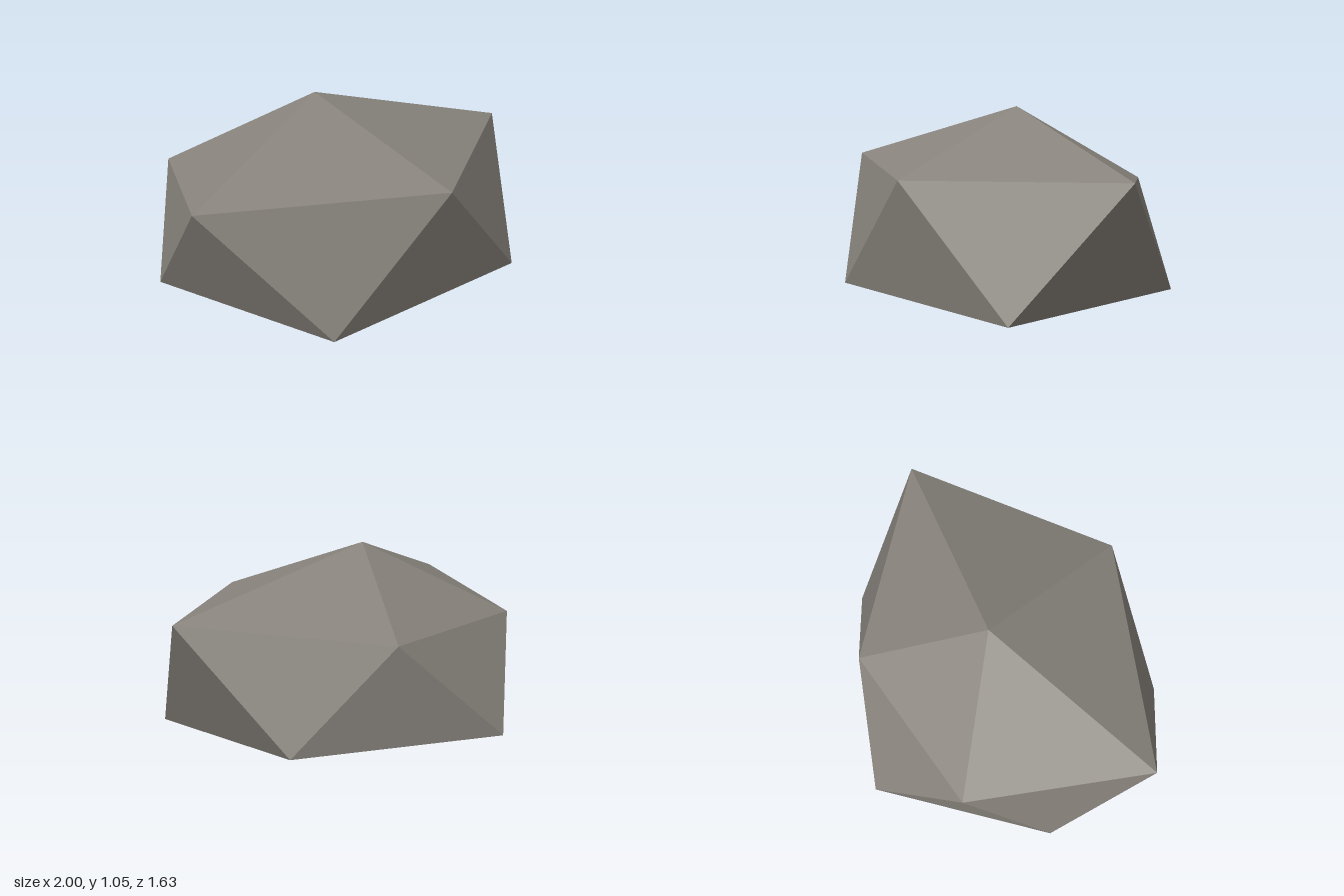
import * as THREE from 'three';

// Faceted boulder: a peak, two staggered rings of five corners, and a base point
const peak = [-0.11, 1.05, -0.04];
const base = [-0.11, 0, -0.04];
const upper = [
  [1, 0.76, -0.04], [0.2, 0.735, 0.78], [-1, 0.75, 0.49], [-0.77, 0.67, -0.44], [0.13, 0.66, -0.66],
];
const lower = [
  [0.79, 0.11, 0.5], [-0.45, 0.12, 0.815], [-0.99, 0.18, -0.04], [-0.42, 0.15, -0.815], [0.65, 0.155, -0.51],
];

function boulderGeometry() {
  const corners = [];
  const n = upper.length;
  for (let i = 0; i < n; i++) {
    const j = (i + 1) % n;
    corners.push(
      peak, upper[j], upper[i],        // cap
      upper[i], upper[j], lower[i],    // side, pointing down
      lower[i], upper[j], lower[j],    // side, pointing up
      lower[i], lower[j], base,        // underside
    );
  }
  const geometry = new THREE.BufferGeometry();
  geometry.setAttribute('position', new THREE.Float32BufferAttribute(corners.flat(), 3));
  geometry.computeVertexNormals(); // unshared corners give flat facets
  return geometry;
}

export function createModel() {
  const stone = new THREE.MeshStandardMaterial({ color: 0x88837c, flatShading: true });
  stone.name = 'warm grey stone';

  const boulder = new THREE.Mesh(boulderGeometry(), stone);
  boulder.name = 'boulder';

  const model = new THREE.Group();
  model.name = 'rock';
  model.add(boulder);
  return model;
}
